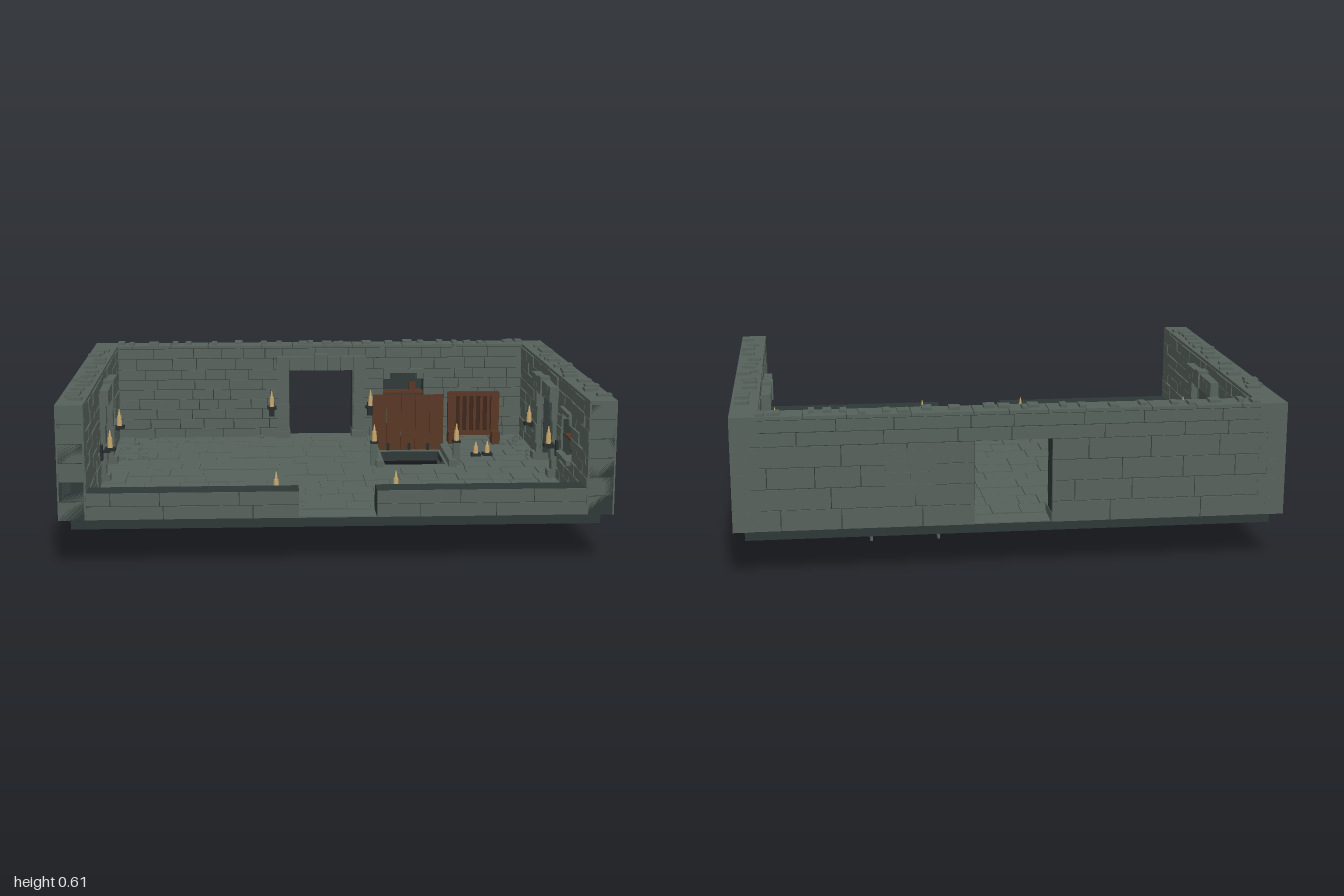
import * as THREE from 'three';
import { mergeGeometries } from 'three/addons/utils/BufferGeometryUtils.js';

const material = (name, color, side = THREE.FrontSide) =>
  Object.assign(new THREE.MeshStandardMaterial({ color, side }), { name });
const M = {
  stone: material('stone', 0x56615a),
  mortar: material('dark mortar', 0x2d3736),
  wood: material('wood', 0x573420),
  darkWood: material('dark wood', 0x3a2216),
  iron: material('iron', 0x23292b),
  wax: material('candle wax', 0xc9a96e),
};

let seed = 7;
const rnd = (a = 0, b = 1) => {
  seed = (seed * 16807) % 2147483647;
  return a + (b - a) * (seed / 2147483647);
};

// Box given by its low and high corners
const box = (x0, x1, y0, y1, z0, z1) =>
  new THREE.BoxGeometry(x1 - x0, y1 - y0, z1 - z0).translate((x0 + x1) / 2, (y0 + y1) / 2, (z0 + z1) / 2);

function add(parent, name, mat, geos) {
  const mesh = new THREE.Mesh(Array.isArray(geos) ? mergeGeometries(geos) : geos, mat);
  mesh.name = name;
  parent.add(mesh);
  return mesh;
}

const rect = (x0, x1, y0, y1, C = THREE.Path) =>
  new C([[x0, y0], [x1, y0], [x1, y1], [x0, y1]].map(p => new THREE.Vector2(...p)));

const Y0 = 0.18, DOOR = 0.14, DOOR_TOP = 0.49, TOP = 0.6;
const NICHE = { x0: 0.28, x1: 0.46, y0: 0.313, y1: 0.49 };

function candle(parent, x, y, z, h = 0.07) {
  add(parent, 'candle', M.wax, [
    new THREE.CylinderGeometry(0.009, 0.011, h * 0.6, 8).translate(x, y + h * 0.3, z),
    new THREE.CylinderGeometry(0.002, 0.006, h * 0.4, 8).translate(x, y + h * 0.8, z)]);
}

// Bracket, dish and candle fixed to a wall face
function sconce(parent, x, y, zFace) {
  const z = zFace + 0.04, g = new THREE.Group();
  g.name = 'sconce';
  add(g, 'sconceBracket', M.iron, [
    box(x - 0.012, x + 0.012, y - 0.03, y + 0.03, zFace, zFace + 0.012),
    box(x - 0.006, x + 0.006, y, y + 0.01, zFace, z),
    box(x - 0.02, x + 0.02, y + 0.008, y + 0.02, z - 0.02, z + 0.02)]);
  candle(g, x, y + 0.02, z);
  parent.add(g);
}

// Courses of random stones between a and b, skipping the openings
function courses(a, b, rows, openings, lo, hi, zRange) {
  const out = [];
  for (let i = 0; i + 1 < rows.length; i++) {
    const mid = (rows[i] + rows[i + 1]) / 2;
    let spans = [[a, b]];
    for (const o of openings.filter(o => mid > o.y0 && mid < o.y1))
      spans = spans.flatMap(([s, e]) => (o.x0 >= e || o.x1 <= s ? [[s, e]] : [[s, o.x0], [o.x1, e]]));
    for (const [s, e] of spans) {
      let x = s;
      while (x < e - 0.001) {
        let n = x + rnd(lo, hi);
        if (n > e - lo * 0.5) n = e;
        const [z0, z1] = zRange();
        out.push(box(x + 0.0015, n - 0.0015, rows[i] + 0.0015, rows[i + 1] - 0.0015, z0, z1));
        x = n;
      }
    }
  }
  return out;
}

// Wall along local x, outer face at z = -d and room towards +z
function wall(name, angle, d, a, b, innerA, innerB, quoins, low = false) {
  const g = new THREE.Group();
  g.name = name;
  g.rotation.y = angle;
  const inner = -d + 0.1, top = low ? 0.28 : TOP - 0.015;
  const door = { x0: -DOOR, x1: DOOR, y0: 0, y1: DOOR_TOP };

  // Dark core with door notch and niche hole
  const cores = low ? [rect(a, -DOOR, Y0, top, THREE.Shape), rect(DOOR, b, Y0, top, THREE.Shape)]
    : [new THREE.Shape([[a, Y0], [-DOOR, Y0], [-DOOR, DOOR_TOP], [DOOR, DOOR_TOP], [DOOR, Y0], [b, Y0], [b, top], [a, top]]
      .map(p => new THREE.Vector2(...p)))];
  if (!low) cores[0].holes.push(rect(NICHE.x0, NICHE.x1, NICHE.y0, NICHE.y1));
  add(g, 'wallCore', M.mortar, new THREE.ExtrudeGeometry(cores, { depth: 0.088, bevelEnabled: false }).translate(0, 0, -d + 0.006));

  // Facing stones
  const outRows = low ? [0.18, 0.23, 0.28] : [0.18, 0.2575, 0.335, 0.4125, 0.49, 0.54, top];
  const inRows = low ? [0.18, 0.23, 0.28] : [...Array(8).keys()].map(i => Y0 + i * 0.0443).concat([0.54, top]);
  add(g, 'outerStones', M.stone, courses(a, b, outRows, [door], 0.14, 0.34, () => [-d + rnd(0, 0.003), -d + 0.008]));
  add(g, 'innerStones', M.stone, courses(innerA, innerB, inRows, low ? [door] : [door, NICHE], 0.07, 0.18,
    () => [inner - 0.008, inner + rnd(-0.003, 0.004)]));

  for (const s of [-1, 1]) sconce(g, s * 0.22, low ? 0.23 : 0.31, inner);

  if (low) {
    const ends = [-0.19, 0.14].map(x => box(x, x + 0.05, Y0, 0.235, inner, inner + 0.05));
    add(g, 'gateBlocks', M.stone, ends);
    g.userData = {};
    return g;
  }

  // Corner stones through the full thickness
  const corner = [];
  for (const [x, dir] of quoins)
    for (let i = 0; i < 6; i++) {
      const e = x + dir * (i % 2 ? 0.1 : 0.07);
      corner.push(box(Math.min(x, e), Math.max(x, e), Y0 + i * 0.07 + 0.001, Y0 + (i + 1) * 0.07 - 0.001, -d, inner + 0.0005));
    }
  if (corner.length) add(g, 'cornerStones', M.stone, corner);

  // Coping with small raised stones
  const cap = courses(a, b, [top, TOP], [], 0.12, 0.3, () => [-d, inner]);
  for (let x = a + 0.1; x < b - 0.08; x += rnd(0.04, 0.13)) {
    const w = rnd(0.018, 0.045), z = -d + rnd(0, 0.045);
    cap.push(box(x, x + w, TOP - 0.005, TOP + 0.009, z, z + 0.052));
  }
  add(g, 'coping', M.stone, cap);

  // Door surround: jambs, foot blocks and a lintel of wedge stones
  const frame = [];
  for (const s of [-1, 1]) {
    const x = s * 0.168;
    for (let i = 0; i < 4; i++)
      frame.push(box(x - 0.024, x + 0.024, 0.18 + i * 0.0775, 0.256 + i * 0.0775, inner, inner + 0.02 + 0.005 * (i % 2)));
    frame.push(box(x - 0.03, x + 0.03, Y0, 0.215, inner - 0.09, inner + 0.035));
  }
  for (let i = 0; i < 7; i++) {
    const x = -0.2 + i * 0.4 / 7;
    frame.push(box(x + 0.0015, x + 0.4 / 7 - 0.0015, DOOR_TOP, i === 3 ? 0.562 : 0.55, inner, inner + (i === 3 ? 0.042 : 0.036)));
  }
  add(g, 'doorSurround', M.stone, frame);

  // Niche: dark back, blocked-up outside, chamfered head, sill and shelf
  const { x0, x1, y0, y1 } = NICHE;
  add(g, 'nicheBack', M.mortar, box(x0, x1, y0, y1, -d + 0.007, -d + 0.014));
  const plate = [];
  for (let i = 0; i < 2; i++) for (let j = 0; j < 4; j++)
    plate.push(box(x0 + 0.09 * i, x0 + 0.088 + 0.09 * i, 0.3 + 0.043 * j, 0.341 + 0.043 * j, -d - 0.001, -d + 0.005));
  add(g, 'blockedWindow', M.stone, plate);
  add(g, 'nicheSurround', M.stone, [
    box(x0, x1, 0.472, y1, inner - 0.05, inner + 0.012),
    box(x0, x0 + 0.03, 0.445, 0.472, inner - 0.05, inner + 0.008),
    box(x1 - 0.03, x1, 0.445, 0.472, inner - 0.05, inner + 0.008),
    box(x0 - 0.015, x1 + 0.015, y0 - 0.018, y0, inner - 0.05, inner + 0.02)]);
  add(g, 'nicheShelf', M.wood, [
    box(x0, x1, 0.375, 0.383, -d + 0.014, inner - 0.01),
    box(0.3, 0.34, y0, 0.35, -d + 0.03, -d + 0.07),
    box(0.4, 0.43, 0.383, 0.42, -d + 0.03, -d + 0.06)]);
  candle(g, 0.37, y0, -d + 0.065, 0.05);
  return g;
}

export function createModel() {
  const model = new THREE.Group();
  model.name = 'dungeonRoom';
  const H = { x0: 0.24, x1: 0.49, z0: -0.355, z1: -0.085 };

  // Foundation and floor slab with the stair hole
  const slab = (w, d, y0, y1) => {
    const s = rect(-w, w, -d, d, THREE.Shape);
    s.holes.push(rect(H.x0, H.x1, -H.z1, -H.z0));
    return new THREE.ExtrudeGeometry(s, { depth: y1 - y0, bevelEnabled: false }).rotateX(-Math.PI / 2).translate(0, y0, 0);
  };
  add(model, 'foundation', M.mortar, slab(0.96, 0.73, 0.138, 0.178));
  add(model, 'floorSlab', M.stone, slab(0.985, 0.755, 0.178, 0.182));

  // Uneven flagstones
  const tiles = [];
  for (let z = -0.66; z < 0.65; z += 0.11)
    for (let x = -0.895; x < 0.89;) {
      const n = Math.min(x + rnd(0.07, 0.17), 0.895);
      if (n < H.x0 - 0.01 || x > H.x1 + 0.01 || z + 0.11 < H.z0 || z > H.z1)
        tiles.push(box(x + 0.002, n - 0.002, 0.181, 0.185 + rnd(0, 0.005), z + 0.002, z + 0.108));
      x = n;
    }
  add(model, 'flagstones', M.stone, tiles);

  // Rubble along the walls
  const rubble = [];
  for (let i = 0; i < 110; i++) {
    const s = rnd(0.008, 0.024), edge = Math.pow(rnd(), 2) * 0.13, side = rnd() < 0.5 ? -1 : 1;
    const [x, z] = i % 2 ? [side * (0.875 - edge), rnd(0.2, 0.64) * (rnd() < 0.5 ? -1 : 1)]
      : [rnd(0.25, 0.86) * (rnd() < 0.5 ? -1 : 1), side * (0.645 - edge)];
    rubble.push(new THREE.BoxGeometry(s, s * 0.6, s * rnd(0.6, 1.2)).rotateY(rnd(-0.2, 0.2)).translate(x, 0.19, z));
  }
  add(model, 'rubble', M.stone, rubble);

  // Walls: three tall, one low at the front
  model.add(
    wall('backWall', 0, 0.77, -1, 1, -0.9, 0.9, [[-1, 1], [1, -1]]),
    wall('rightWall', Math.PI / 2, 1, -0.77, 0.67, -0.77, 0.67, [[-0.77, 1]]),
    wall('leftWall', -Math.PI / 2, 1, -0.67, 0.77, -0.67, 0.77, [[0.77, -1]]),
    wall('frontWall', Math.PI, 0.77, -0.9, 0.9, -0.9, 0.9, [], true));

  // Stairwell: side panels, open treads, curbs and candle posts
  const stairs = new THREE.Group();
  stairs.name = 'stairwell';
  model.add(stairs);
  const side = [], treads = [], curbs = [];
  for (const x of [0.23, 0.49]) side.push(box(x, x + 0.01, 0, 0.184, -0.365, -0.075));
  for (let i = 0; i < 6; i++)
    treads.push(box(0.24, 0.49, 0.15 - i * 0.023, 0.159 - i * 0.023, -0.125 - i * 0.04, -0.085 - i * 0.04));
  for (const x of [0.2, 0.5]) curbs.push(box(x, x + 0.03, 0.18, 0.21, -0.365, -0.03));
  add(stairs, 'stairSides', M.stone, side);
  add(stairs, 'treads', M.stone, treads);
  add(stairs, 'curbs', M.stone, curbs);
  for (const x of [0.195, 0.535]) {
    add(stairs, 'post', M.stone, box(x - 0.014, x + 0.014, 0.18, 0.275, -0.094, -0.066));
    add(stairs, 'postCap', M.iron, box(x - 0.016, x + 0.016, 0.275, 0.283, -0.096, -0.064));
    candle(stairs, x, 0.283, -0.08, 0.07);
  }

  // Open hatch of planks
  const planks = [];
  for (let i = 0; i < 5; i++) planks.push(box(0.21 + i * 0.061, 0.2695 + i * 0.061, 0.185, 0.425, -0.372, -0.36 + 0.002 * (i % 2)));
  add(model, 'hatchPlanks', M.wood, planks);
  add(model, 'hatchBattens', M.darkWood, [0.215, 0.375].map(y => box(0.215, 0.51, y, y + 0.02, -0.379, -0.371)));
  add(model, 'hatchHinges', M.iron, [0.27, 0.36, 0.44].map(x => box(x, x + 0.012, 0.185, 0.215, -0.36, -0.352)));

  // Rack with end posts, rails and slats
  const rack = [box(0.56, 0.77, 0.395, 0.412, -0.52, -0.49), box(0.56, 0.77, 0.22, 0.24, -0.52, -0.49)];
  for (const x of [0.55, 0.74]) rack.push(box(x, x + 0.035, 0.185, 0.41, -0.52, -0.49), box(x, x + 0.035, 0.185, 0.24, -0.49, -0.45));
  for (let i = 0; i < 5; i++) rack.push(box(0.6 + i * 0.03, 0.612 + i * 0.03, 0.24, 0.395, -0.503, -0.482));
  add(model, 'rack', M.wood, rack);
  add(model, 'rackBack', M.darkWood, box(0.57, 0.76, 0.24, 0.395, -0.517, -0.507));

  // Candles on the floor
  for (const [x, z] of [[0.635, -0.21], [0.685, -0.22]]) {
    add(model, 'candleDish', M.iron, box(x - 0.02, x + 0.02, 0.185, 0.2, z - 0.02, z + 0.02));
    candle(model, x, 0.2, z, 0.05);
  }
  return model;
}
